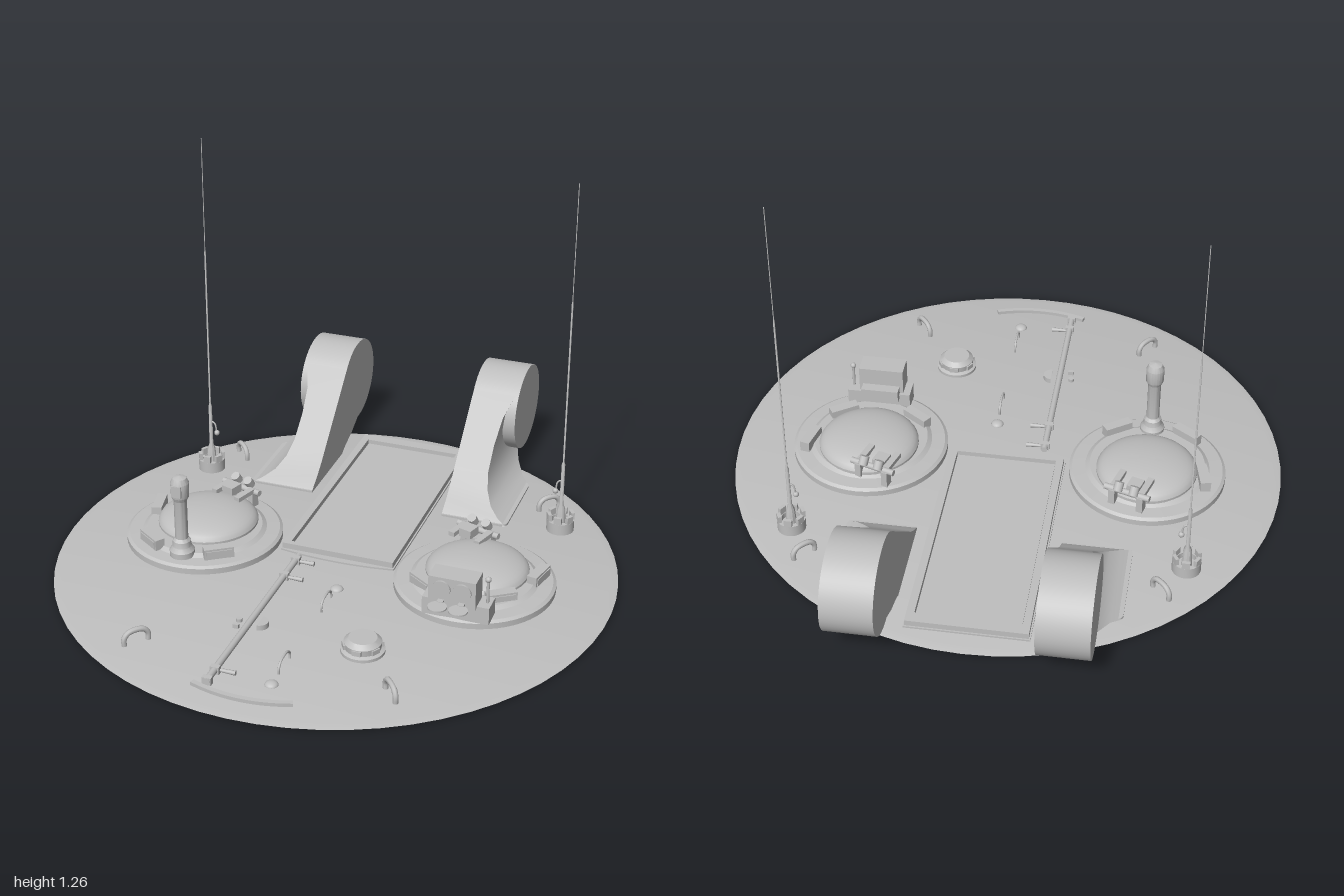
import * as THREE from 'three';
import { toCreasedNormals } from 'three/addons/utils/BufferGeometryUtils.js';

const grey = new THREE.MeshStandardMaterial({ color: 0xbfbfbf, side: THREE.DoubleSide });
grey.name = 'plain grey';

const V = (x, y, z) => new THREE.Vector3(x, y, z);

function createParts(root) {
  const add = (name, geo, x = 0, y = 0, z = 0, ry = 0, parent = root) => {
    const m = new THREE.Mesh(geo, grey);
    m.name = name;
    m.position.set(x, y, z);
    m.rotation.y = ry;
    parent.add(m);
    return m;
  };
  const box = (name, w, h, d, x, y, z, ry = 0, parent = root) =>
    add(name, new THREE.BoxGeometry(w, h, d), x, y, z, ry, parent);
  const cyl = (name, r1, r2, h, x, y, z, parent = root, n = 20) =>
    add(name, new THREE.CylinderGeometry(r1, r2, h, n), x, y, z, 0, parent);
  const lathe = (name, pts, x, y, z, n = 48, parent = root) =>
    add(name, toCreasedNormals(new THREE.LatheGeometry(pts.map(p => new THREE.Vector2(...p)), n), 0.5), x, y, z, 0, parent);
  const rod = (name, pts, r, parent = root) =>
    add(name, new THREE.TubeGeometry(new THREE.CatmullRomCurve3(pts), 20, r, 8), 0, 0, 0, 0, parent);
  const arch = (name, x1, z1, x2, z2, h, r) => {
    const at = (t, y) => V(x1 + (x2 - x1) * t, y, z1 + (z2 - z1) * t);
    return rod(name, [at(0, 0.005), at(0, h * 0.65), at(0.2, h), at(0.8, h), at(1, h * 0.65), at(1, 0.005)], r);
  };
  // Shape drawn with v = -z, extruded upwards
  const slab = (name, shape, y, h) => {
    const g = new THREE.ExtrudeGeometry(shape, { depth: h, bevelEnabled: false, curveSegments: 24 });
    g.rotateX(-Math.PI / 2);
    return add(name, g, 0, y, 0);
  };

  // Roof disc with a bevelled rim
  lathe('roofDisc', [[0, 0], [0.925, 0], [0.932, 0.004], [0.905, 0.01], [0, 0.01]], 0, 0, 0.065, 64);

  // Long centre hatch: low plate, raised frame and inner panel
  const outline = new THREE.Shape();
  outline.moveTo(-0.2, -0.06);
  outline.quadraticCurveTo(0, -0.095, 0.2, -0.06);
  outline.lineTo(0.2, 0.79);
  outline.lineTo(-0.2, 0.79);
  outline.closePath();
  slab('hatchPlate', outline, 0.008, 0.008);
  const rect = (P, x, v0, v1) => {
    const p = new P();
    p.moveTo(-x, v0); p.lineTo(x, v0); p.lineTo(x, v1); p.lineTo(-x, v1); p.closePath();
    return p;
  };
  const frame = rect(THREE.Shape, 0.195, -0.055, 0.785);
  frame.holes.push(rect(THREE.Path, 0.17, -0.035, 0.745));
  slab('hatchFrame', frame, 0.01, 0.026);
  box('hatchPanel', 0.335, 0.008, 0.775, 0, 0.018, -0.355);

  // Air ducts: drum, flared neck and rounded foot on each side
  const sections = [ // y, front z, back z, outer x
    [0.012, -0.34, -0.655, 0.468], [0.028, -0.36, -0.69, 0.435], [0.05, -0.395, -0.76, 0.4],
    [0.085, -0.44, -0.83, 0.375], [0.13, -0.488, -0.925, 0.362], [0.2, -0.564, -0.94, 0.36],
    [0.27, -0.64, -0.94, 0.368], [0.31, -0.683, -0.93, 0.385], [0.345, -0.722, -0.9, 0.4],
  ];
  const neckGeometry = s => {
    const pos = [], idx = [];
    for (const [y, f, b, xo] of sections)
      pos.push(s * 0.24, y, f, s * xo, y, f, s * xo, y, b, s * 0.24, y, b);
    for (let i = 0; i < sections.length - 1; i++) for (let j = 0; j < 4; j++) {
      const a = i * 4 + j, c = i * 4 + (j + 1) % 4;
      if (s > 0) idx.push(a, c, a + 4, c, c + 4, a + 4);
      else idx.push(a, a + 4, c, c, a + 4, c + 4);
    }
    const g = new THREE.BufferGeometry();
    g.setAttribute('position', new THREE.Float32BufferAttribute(pos, 3));
    g.setIndex(idx);
    return toCreasedNormals(g, 0.7);
  };
  for (const s of [1, -1]) {
    const drum = new THREE.CylinderGeometry(1, 1, 0.165, 48);
    drum.rotateZ(Math.PI / 2);
    drum.scale(1, 0.15, 0.168);
    add('ductDrum', drum, s * 0.3225, 0.232, -0.832);
    add('ductNeck', neckGeometry(s), 0, 0, 0);
    const foot = new THREE.Shape(), a = 0.24, b = 0.472, c = 0.34, d = 0.66, r = 0.025;
    foot.moveTo(s * a, c);
    foot.lineTo(s * (b - r), c);
    foot.quadraticCurveTo(s * b, c, s * b, c + r);
    foot.lineTo(s * b, d - r);
    foot.quadraticCurveTo(s * b, d, s * (b - r), d);
    foot.lineTo(s * a, d);
    foot.closePath();
    slab('ductFoot', foot, 0.008, 0.009);
  }

  // Cupolas: ring, dome, vision blocks and hatch hinge
  const cupola = (name, cx, blocks) => {
    const g = new THREE.Group();
    g.name = name;
    g.position.set(cx, 0, 0.05);
    root.add(g);
    lathe('cupolaRing', [[0.265, 0.008], [0.265, 0.03], [0.255, 0.037], [0.21, 0.04], [0.195, 0.05], [0, 0.05]], 0, 0, 0, 56, g);
    const dome = [[0.17, 0.045], [0.17, 0.058]];
    for (let i = 1; i <= 10; i++) {
      const t = i / 10 * Math.PI / 2;
      dome.push([0.168 * Math.cos(t), 0.058 + 0.047 * Math.sin(t)]);
    }
    lathe('cupolaDome', dome, 0, 0, -0.03, 40, g);
    for (const [x, z, a] of blocks) {
      box('visionBlock', 0.1, 0.045, 0.034, x - cx, 0.054, z - 0.05, a, g);
      box('visionGlass', 0.085, 0.025, 0.004, x - cx + Math.sin(a) * 0.018, 0.057, z - 0.05 + Math.cos(a) * 0.018, a, g);
    }
    return g;
  };
  const left = cupola('leftCupola', 0.475, [[0.675, 0, 1.35], [0.335, 0.165, -0.6], [0.595, 0.165, 0.6]]);
  const right = cupola('rightCupola', -0.48, [[-0.672, 0, -1.35], [-0.6, 0.215, -0.6], [-0.36, 0.215, 0.6]]);

  // Hinge with latch arms behind each dome
  for (const [g, x] of [[left, -0.05], [right, 0.05]]) {
    const h = new THREE.Group();
    h.name = 'hatchHinge';
    h.position.set(x, 0, -0.205);
    h.rotation.y = -0.3;
    g.add(h);
    const bar = cyl('hingeBar', 0.011, 0.011, 0.16, 0, 0.095, 0, h, 12);
    bar.rotation.z = Math.PI / 2;
    for (const px of [-0.05, 0.05]) {
      box('hingePost', 0.022, 0.06, 0.03, px, 0.065, 0, 0, h);
      box('hingeArm', 0.022, 0.016, 0.085, px, 0.1, 0.045, 0, h);
      const k = cyl('hingeKnob', 0.016, 0.016, 0.03, px * 0.55, 0.118, -0.008, h, 12);
      k.rotation.x = 0.6;
    }
    box('hingeBlock', 0.045, 0.03, 0.05, -0.015, 0.1, 0.035, 0, h);
  }

  // Periscope mast on the right cupola
  lathe('periscopeMast', [[0.042, 0.04], [0.042, 0.06], [0.032, 0.075], [0.03, 0.095], [0.022, 0.105], [0.022, 0.245],
    [0.03, 0.26], [0.031, 0.31], [0.023, 0.328], [0, 0.335]], -0.478, 0, 0.243, 20);
  box('periscopeWindow', 0.034, 0.04, 0.008, -0.478, 0.288, 0.271);

  // Twin-lens sight on the left cupola
  box('sightBase', 0.22, 0.06, 0.07, 0.485, 0.065, 0.27);
  box('sightBox', 0.155, 0.095, 0.075, 0.477, 0.138, 0.283);
  box('sightRear', 0.13, 0.045, 0.05, 0.477, 0.1, 0.235);
  for (const x of [0.443, 0.511]) {
    const lens = cyl('sightLens', 0.03, 0.03, 0.008, x, 0.146, 0.323);
    lens.rotation.x = Math.PI / 2;
    cyl('sightFlap', 0.031, 0.031, 0.005, x, 0.104, 0.362);
    box('flapHinge', 0.02, 0.008, 0.025, x, 0.104, 0.326);
  }
  cyl('sightPin', 0.005, 0.005, 0.13, 0.58, 0.115, 0.27, root, 8);
  add('sightPinKnob', new THREE.SphereGeometry(0.01, 10, 8), 0.58, 0.178, 0.27);

  for (const s of [1, -1]) {
    // Whip antennas on notched sockets
    const x = s * 0.648, z = -0.395;
    lathe('antennaSocket', [[0.047, 0.008], [0.047, 0.05], [0.032, 0.05], [0.032, 0.03], [0, 0.03]], x, 0, z, 24);
    for (let i = 0; i < 6; i++) {
      const a = i * Math.PI / 3;
      box('socketTooth', 0.026, 0.024, 0.012, x + 0.04 * Math.sin(a), 0.062, z + 0.04 * Math.cos(a), a);
    }
    lathe('antennaRod', [[0.018, 0.03], [0.014, 0.09], [0.007, 0.11], [0.006, 0.26], [0.003, 0.27], [0.003, 0.85],
      [0.0014, 0.86], [0.0014, 1.262], [0, 1.262]], x, 0, z, 10);
    rod('antennaHook', [V(x, 0.2, z), V(x - s * 0.016, 0.19, z), V(x - s * 0.022, 0.16, z)], 0.003);
    add('hookWeight', new THREE.SphereGeometry(0.01, 10, 8), x - s * 0.023, 0.155, z);

    // Lifting loops
    arch('rearLiftLoop', s * 0.605, -0.545, s * 0.55, -0.49, 0.052, 0.009);
    arch('frontLiftLoop', s * 0.39, 0.7, s * 0.442, 0.762, 0.052, 0.009);
  }

  // Long pipe with clamps
  const pipe = cyl('pipe', 0.011, 0.011, 0.77, -0.12, 0.024, 0.485, root, 12);
  pipe.rotation.x = Math.PI / 2;
  for (const z of [0.125, 0.23, 0.8, 0.86]) box('pipeClamp', 0.03, 0.026, 0.018, -0.12, 0.022, z);
  for (const z of [0.125, 0.23, 0.795]) {
    const stem = cyl('clampStem', 0.005, 0.008, 0.06, -0.085, 0.02, z, root, 8);
    stem.rotation.z = Math.PI / 2;
  }

  // Domed studs and thin grab rails
  for (const z of [0.23, 0.8]) {
    const stud = add('stud', new THREE.SphereGeometry(0.022, 16, 8, 0, Math.PI * 2, 0, Math.PI / 2), 0.063, 0.009, z);
    stud.scale.y = 0.6;
  }
  arch('grabRail', 0.063, 0.285, 0.063, 0.375, 0.045, 0.004);
  arch('grabRail', 0.063, 0.65, 0.063, 0.74, 0.045, 0.004);

  // Ventilator cap with side ports
  lathe('ventCap', [[0.07, 0.008], [0.07, 0.02], [0.058, 0.025], [0.06, 0.046], [0.045, 0.06], [0, 0.06]], 0.26, 0, 0.535, 32);
  for (let i = 0; i < 6; i++) {
    const a = i * Math.PI / 3;
    box('ventPort', 0.03, 0.016, 0.008, 0.26 + 0.06 * Math.sin(a), 0.036, 0.535 + 0.06 * Math.cos(a), a);
  }

  // Small fittings
  add('halfRoundLug', new THREE.CylinderGeometry(0.028, 0.028, 0.02, 16, 1, false, 0, Math.PI), -0.09, 0.018, 0.515);
  cyl('smallBolt', 0.01, 0.01, 0.014, -0.162, 0.014, 0.512, root, 12);
  box('smallLatch', 0.02, 0.016, 0.012, -0.157, 0.016, 0.55);

  // Curved deflector strip at the front edge
  const strip = new THREE.Shape();
  strip.moveTo(-0.165, -0.885);
  strip.quadraticCurveTo(0, -0.945, 0.165, -0.885);
  strip.lineTo(0.16, -0.87);
  strip.quadraticCurveTo(0, -0.928, -0.16, -0.87);
  strip.closePath();
  slab('deflectorStrip', strip, 0.008, 0.014);
}

export function createModel() {
  const root = new THREE.Group();
  root.name = 'turretRoof';
  createParts(root);
  return root;
}
